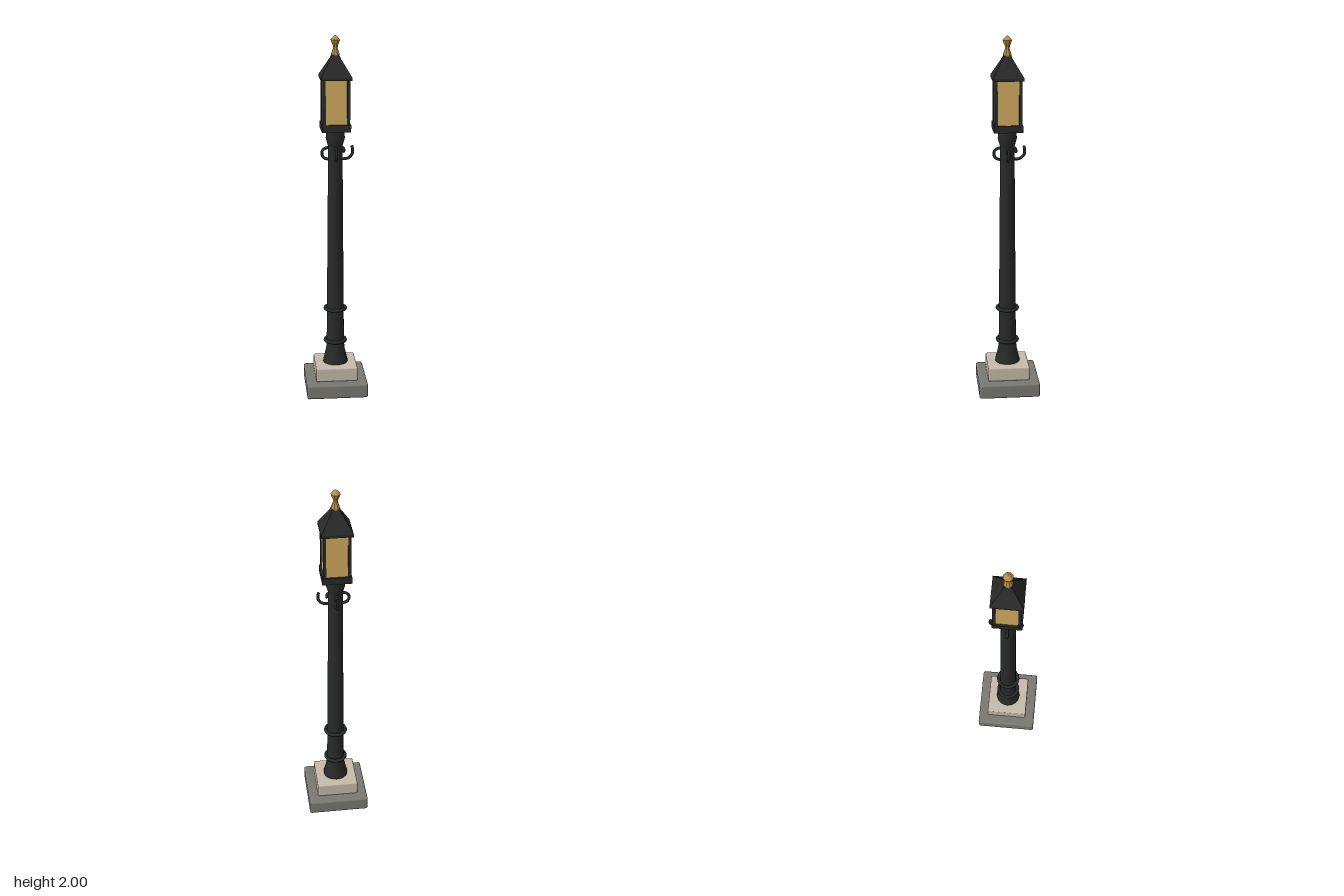
import * as THREE from 'three';
import { RoundedBoxGeometry } from 'three/addons/geometries/RoundedBoxGeometry.js';

const mat = (name, color) => {
  const m = new THREE.MeshStandardMaterial({ color });
  m.name = name;
  return m;
};

export function createModel() {
  const iron = mat('black iron', 0x282929);
  const gold = mat('brass', 0xb98f47);
  const glass = mat('amber glass', 0xd2ab60);
  const darkStone = mat('dark stone', 0x7a7871);
  const paleStone = mat('pale stone', 0xc5bba9);

  const model = new THREE.Group();
  model.name = 'streetLamp';
  const add = (name, geometry, material, x = 0, y = 0, z = 0) => {
    const mesh = new THREE.Mesh(geometry, material);
    mesh.name = name;
    mesh.position.set(x, y, z);
    model.add(mesh);
    return mesh;
  };
  const box = (w, h, d) => new THREE.BoxGeometry(w, h, d);
  const lathe = (profile, sides, phi = 0) =>
    new THREE.LatheGeometry(profile.map(([r, y]) => new THREE.Vector2(r, y)), sides, phi);
  // faceted lathe with hard edges
  const faceted = (profile, sides, phi) => {
    const g = lathe(profile, sides, phi).toNonIndexed();
    g.computeVertexNormals();
    return g;
  };

  // stepped stone plinth
  add('lowerPlinth', new RoundedBoxGeometry(0.34, 0.082, 0.34, 3, 0.012), darkStone, 0, 0.041);
  add('upperPlinth', new RoundedBoxGeometry(0.232, 0.08, 0.232, 3, 0.008), paleStone, 0, 0.121);

  // flared foot and tapering shaft
  add('foot', lathe([[0.07, 0.155], [0.068, 0.175], [0.052, 0.24], [0.049, 0.29]], 20), iron);
  add('shaft', lathe([[0.049, 0.29], [0.047, 0.48], [0.039, 1.41]], 20), iron);
  for (const y of [0.29, 0.48]) {
    add('collarRing', new THREE.TorusGeometry(0.056, 0.01, 8, 28), iron, 0, y).rotation.x = Math.PI / 2;
  }
  add('neck', lathe([[0.038, 1.4], [0.052, 1.45], [0.047, 1.497]], 20), iron);

  // two crossed scrolls running through the shaft
  const scroll = new THREE.CatmullRomCurve3([
    [0.046, 1.374], [0.044, 1.392], [0.02, 1.398], [-0.045, 1.396], [-0.068, 1.383], [-0.073, 1.362],
    [-0.062, 1.341], [-0.04, 1.333], [0.04, 1.333], [0.07, 1.338], [0.09, 1.357], [0.094, 1.38], [0.091, 1.4],
  ].map(([x, y]) => new THREE.Vector3(x, y, 0)));
  const scrollGeometry = new THREE.TubeGeometry(scroll, 64, 0.008, 8);
  for (const turn of [0, Math.PI / 2]) {
    const arm = add('scroll', scrollGeometry, iron);
    arm.rotation.y = turn;
    for (const t of [0, 1]) {
      const tip = new THREE.Mesh(new THREE.SphereGeometry(0.008, 8, 6), iron);
      tip.name = 'scrollTip';
      tip.position.copy(scroll.getPoint(t));
      arm.add(tip);
    }
  }

  // lantern: tray, glazing and corner posts
  add('lanternTray', box(0.156, 0.038, 0.156), iron, 0, 1.512);
  add('lanternGlass', box(0.134, 0.244, 0.134), glass, 0, 1.65);
  for (const x of [-1, 1]) for (const z of [-1, 1]) {
    add('cornerPost', box(0.016, 0.244, 0.016), iron, x * 0.065, 1.65, z * 0.065);
  }

  // four-sided roof
  const roof = [[0, 1.768], [0.083, 1.768], [0.083, 1.784], [0.028, 1.876], [0.02, 1.895], [0, 1.895]];
  add('roof', faceted(roof.map(([r, y]) => [r * Math.SQRT2, y]), 4, Math.PI / 4), iron);

  // octagonal finial
  add('finial', faceted([
    [0.024, 1.893], [0.023, 1.903], [0.013, 1.93], [0.014, 1.945], [0.021, 1.96], [0.026, 1.975], [0.012, 1.99], [0, 2],
  ], 8, Math.PI / 8), gold);

  return model;
}
